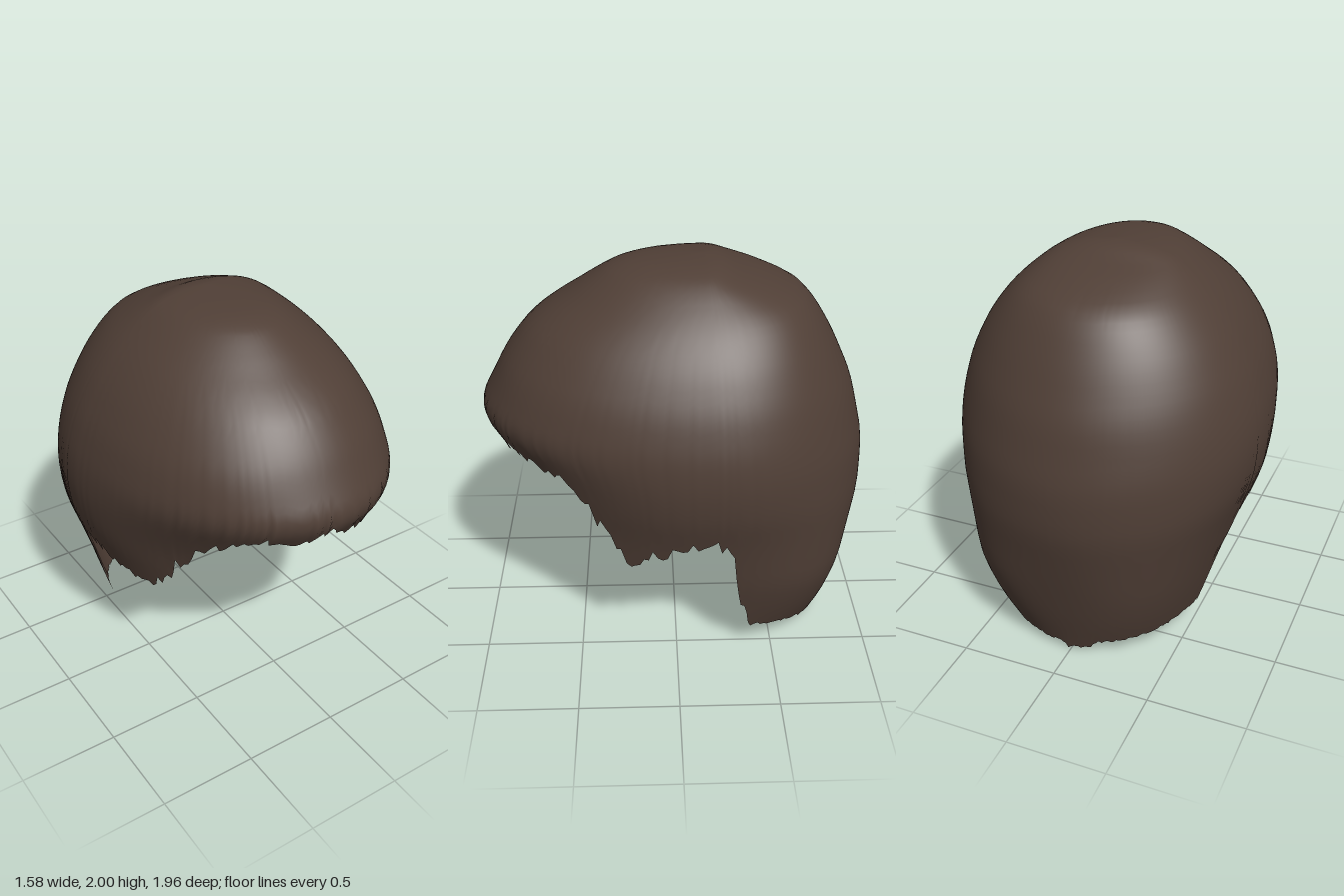
import * as THREE from 'three';

// Outline tables, each [height, value] from the crown down
const FRONT = [[2, -0.15], [1.99, 0.08], [1.97, 0.26], [1.92, 0.37], [1.79, 0.56], [1.71, 0.7], [1.54, 0.84],
  [1.36, 0.935], [1.24, 1.0], [1.07, 0.89], [0.6, 0.8], [0, 0.7]];
const BACK = [[2, -0.15], [1.99, -0.23], [1.92, -0.38], [1.87, -0.58], [1.78, -0.69], [1.6, -0.8], [1.36, -0.91],
  [1.05, -0.985], [0.8, -0.985], [0.5, -0.92], [0.2, -0.85], [0, -0.79]];
const WIDTH = [[2, 0], [1.99, 0.15], [1.95, 0.3], [1.8, 0.49], [1.64, 0.62], [1.45, 0.72], [1.25, 0.78],
  [1.08, 0.795], [0.9, 0.775], [0.7, 0.71], [0.5, 0.655], [0.3, 0.6], [0.15, 0.56], [0, 0.51]];
// Extra fullness of the diagonal corners
const FULL_FRONT = [[2, 0], [1.7, 0.01], [1.45, 0.025], [1.2, 0], [0.9, -0.06], [0.6, -0.04], [0, 0]];
const FULL_BACK = [[2, 0], [1.85, 0.03], [1.6, 0.015], [1.3, 0], [1, 0.005], [0.8, 0.03], [0.4, 0.09], [0.2, 0.07], [0, 0.02]];

// Hem tables, [degrees from the front, height] for each side
const HEM_LEFT = [[0, 1.14], [11, 1.08], [20, 1.07], [24, 1.13], [36, 1.09], [49, 1.05], [56, 0.84], [60, 0.8],
  [64, 0.6], [75, 0.68], [81, 0.74], [93, 0.76], [98, 0.68], [101, 0.5], [103, 0.32], [107, 0.16], [131, 0.11],
  [145, 0.06], [177, 0.04], [180, 0.02]];
const HEM_RIGHT = [[0, 1.15], [4, 1.2], [12, 1.13], [27, 1.16], [37, 1.08], [44, 1], [50, 0.88], [57, 0.77], [64, 0.62],
  [75, 0.69], [84, 0.73], [93, 0.75], [98, 0.67], [101, 0.5], [103, 0.32], [107, 0.16], [135, 0.12], [165, 0.08],
  [168, 0.03], [180, 0.02]];

const CENTRE_Z = -0.15;
const COLUMNS = 240;
const ROWS = 40;

function lookup(table, key) {
  const dir = Math.sign(table[1][0] - table[0][0]);
  for (let i = 1; i < table.length; i++) {
    const [k0, v0] = table[i - 1];
    const [k1, v1] = table[i];
    if ((k1 - key) * dir >= 0) return v0 + (v1 - v0) * Math.max(0, (key - k0) / (k1 - k0));
  }
  return table[table.length - 1][1];
}

// Averaged lookup, so the outlines curve smoothly
function smooth(table, y) {
  const d = Math.min(0.06, (2 - y) * 0.5);
  let sum = 0;
  for (let k = -2; k <= 2; k++) sum += lookup(table, y + (k * d) / 2);
  return sum / 5;
}

function seeded(seed) {
  return () => {
    seed = (seed * 16807) % 2147483647;
    return seed / 2147483647;
  };
}

// Point on the hair at an angle from the front and a height
function surfacePoint(angle, y) {
  const c = Math.cos(angle);
  const s = Math.sin(angle);
  const front = c > 0;
  const reach = front ? smooth(FRONT, y) - CENTRE_Z : CENTRE_Z - smooth(BACK, y);
  const uneven = front ? 1 - 0.4 * s : 1 + 0.5 * s;
  const full = 1 + smooth(front ? FULL_FRONT : FULL_BACK, y) * uneven * (2 * s * c) ** 2;
  // The tip of the fringe and the nape sit a little to the left
  const lean = 0.02 * Math.min(1, (2 - y) * 2) * Math.max(0, c) ** 2 + 0.015 * Math.min(1, Math.max(0, 0.8 - y) * 3);
  return [smooth(WIDTH, y) * s * full + lean, y, CENTRE_Z + reach * c * full];
}

// Ragged hem height for each column
function hemHeights() {
  const random = seeded(4711);
  const heights = [];
  for (let i = 0; i < COLUMNS; i++) {
    const turn = (i / COLUMNS) * 360;
    const degrees = Math.min(turn, 360 - turn) + (random() - 0.5) * 2;
    const base = lookup(turn <= 180 ? HEM_LEFT : HEM_RIGHT, Math.min(180, Math.abs(degrees)));
    const jag = degrees > 110 ? 0.02 : degrees > 50 ? 0.08 : 0.06;
    heights.push(Math.max(0, base + (random() - 0.5) * jag));
  }
  heights[COLUMNS / 2] = 0;
  return heights;
}

function hairGeometry() {
  const positions = [...surfacePoint(0, 2)];
  const index = [];
  const hems = hemHeights();
  const at = (column, row) => 1 + (column % COLUMNS) * ROWS + row - 1;
  for (let i = 0; i < COLUMNS; i++) {
    for (let j = 1; j <= ROWS; j++) {
      const v = j / ROWS;
      positions.push(...surfacePoint((i / COLUMNS) * Math.PI * 2, 2 - (2 - hems[i]) * v ** 1.8));
    }
    index.push(0, at(i, 1), at(i + 1, 1));
    for (let j = 1; j < ROWS; j++) {
      const a = at(i, j), b = at(i, j + 1), c = at(i + 1, j), d = at(i + 1, j + 1);
      index.push(a, b, c, c, b, d);
    }
  }
  const geometry = new THREE.BufferGeometry();
  geometry.setAttribute('position', new THREE.Float32BufferAttribute(positions, 3));
  geometry.setIndex(index);
  geometry.computeVertexNormals();
  return geometry;
}

export function createModel() {
  const group = new THREE.Group();
  group.name = 'hair';
  const brown = new THREE.MeshStandardMaterial({ color: 0x503f36, side: THREE.DoubleSide });
  brown.name = 'dark brown hair';
  // Open shell with fringe, sideburns, ear arches and nape
  const shell = new THREE.Mesh(hairGeometry(), brown);
  shell.name = 'hairShell';
  group.add(shell);
  return group;
}
